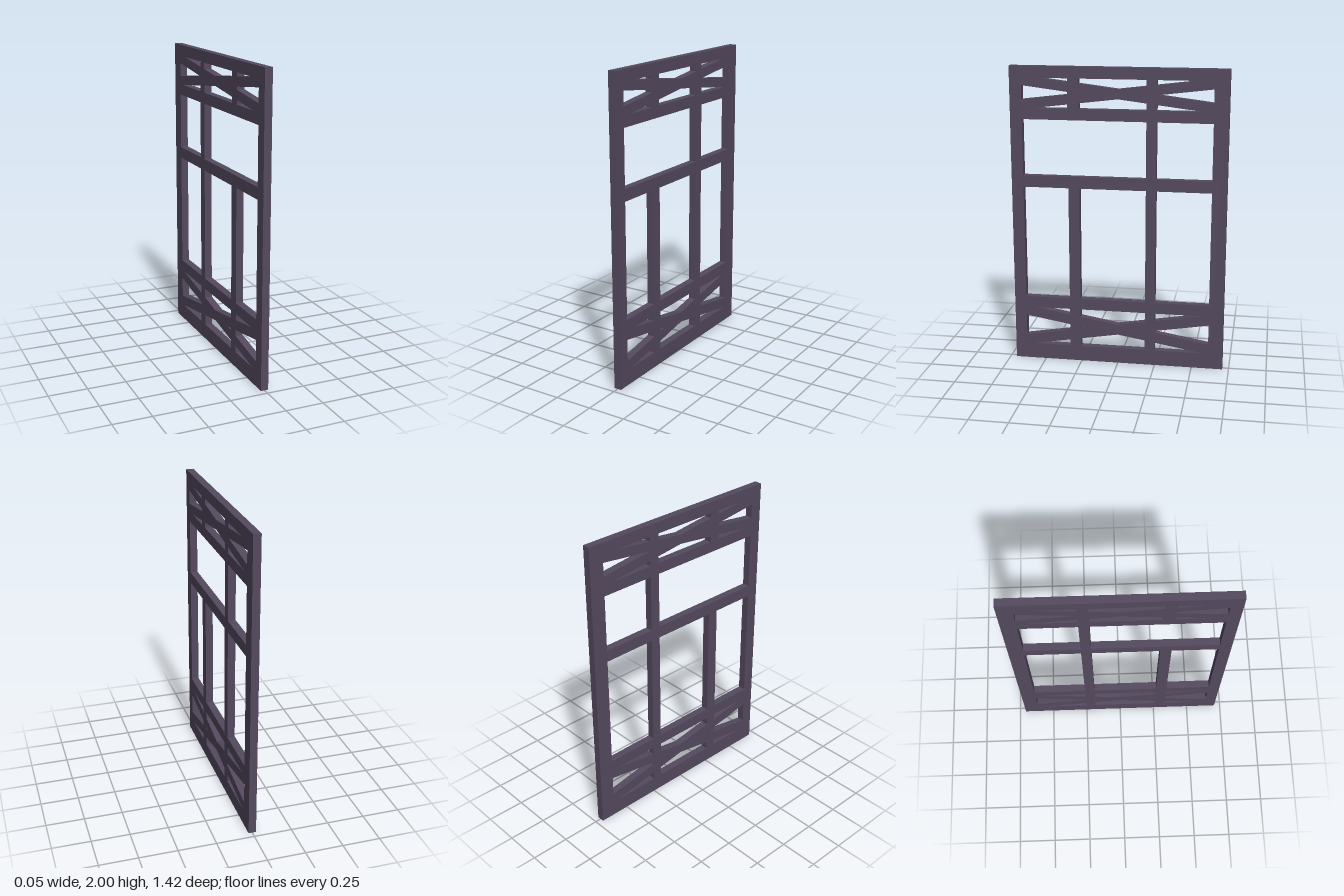
import * as THREE from 'three';

const THICKNESS = 0.05;

export function createModel() {
  const group = new THREE.Group();
  const material = new THREE.MeshStandardMaterial({ color: 0x54495e });

  // Flat bar spanning z0..z1 and y0..y1, all bars flush in x
  function bar(name, z0, z1, y0, y1) {
    const mesh = new THREE.Mesh(new THREE.BoxGeometry(THICKNESS, y1 - y0, z1 - z0), material);
    mesh.position.set(0, (y0 + y1) / 2, (z0 + z1) / 2);
    mesh.name = name;
    group.add(mesh);
  }

  // Pair of diagonal braces crossing at z = 0, ends set into the stiles
  function crossBrace(name, y, slope, width) {
    const brace = new THREE.Group();
    brace.name = name;
    const angle = Math.atan(slope);
    for (const side of [-1, 1]) {
      const mesh = new THREE.Mesh(new THREE.BoxGeometry(THICKNESS, width, 1.32 / Math.cos(angle)), material);
      mesh.rotation.x = side * angle;
      mesh.name = 'diagonalBrace';
      brace.add(mesh);
    }
    brace.position.y = y;
    group.add(brace);
  }

  // Outer stiles
  bar('frontStile', 0.63, 0.708, 0, 2);
  bar('backStile', -0.708, -0.61, 0, 2);

  // Horizontal rails between the stiles
  const rails = [
    ['bottomRail', 0, 0.105],
    ['lowerRail', 0.37, 0.445],
    ['middleRail', 1.208, 1.285],
    ['upperRail', 1.657, 1.73],
    ['topRail', 1.925, 2],
  ];
  for (const [name, y0, y1] of rails) bar(name, -0.61, 0.63, y0, y1);

  // Upright mullions between the rails; the front one skips the wide upper pane
  for (let i = 0; i < rails.length - 1; i++) {
    const y0 = rails[i][2], y1 = rails[i + 1][1];
    bar('backMullion', -0.249, -0.183, y0, y1);
    if (i !== 2) bar('frontMullion', 0.255, 0.328, y0, y1);
  }

  // Crossed braces in the bottom and top panels
  crossBrace('lowerCrossBrace', 0.239, 0.169, 0.069);
  crossBrace('upperCrossBrace', 1.83, 0.123, 0.062);

  return group;
}
